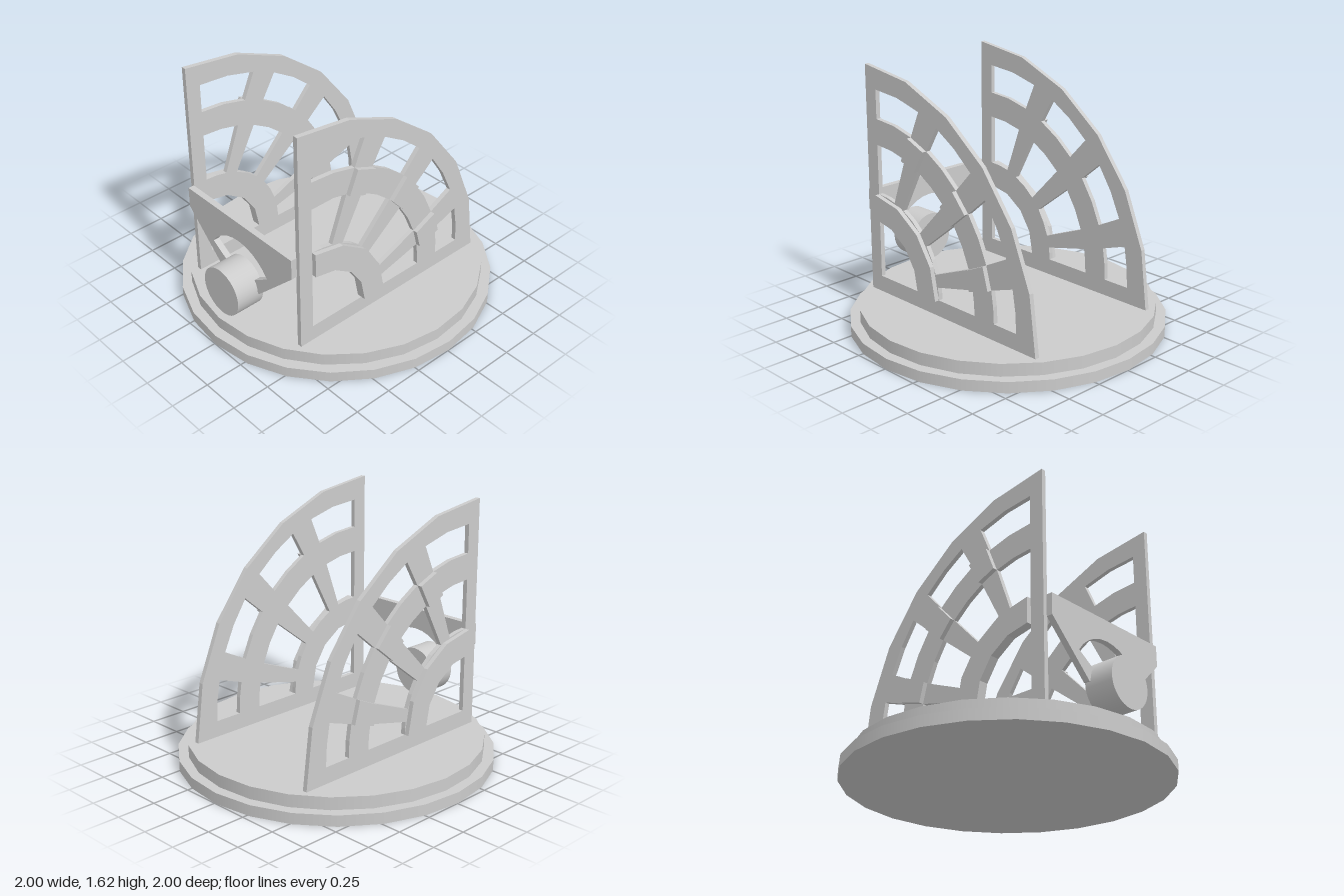
import * as THREE from 'three';

const material = new THREE.MeshStandardMaterial({ color: 0xcccccc });
const rad = THREE.MathUtils.degToRad;

// Corner point the ring sectors and spokes radiate from
const CX = -0.64, CY = 0.255;
// Radii of the rings, from the hub opening to the outer rim
const R = { hubIn: 0.39, hubOut: 0.55, midIn: 0.87, midOut: 1.035, rim: 1.22 };
// Spoke edges in degrees: [at the hub, at the rim]
const spokes = [
  [[74, 71], [65, 62.9]],
  [[45.4, 46.1], [36, 37.7]],
  [[17, 20.9], [8.6, 12.6]],
];
const edgeAngle = ([a, b], r) => a + (b - a) * (r - R.hubOut) / (R.rim - R.hubOut);

function arc(cx, cy, r, from, to, n) {
  return Array.from({ length: n + 1 }, (_, i) => {
    const a = rad(from + (to - from) * i / n);
    return new THREE.Vector2(cx + r * Math.cos(a), cy + r * Math.sin(a));
  });
}

// Ring sector between two edges, as a list of points
function sector(r0, r1, edgeA, edgeB, n) {
  return [
    ...arc(CX, CY, r0, edgeAngle(edgeA, r0), edgeAngle(edgeB, r0), n),
    ...arc(CX, CY, r1, edgeAngle(edgeB, r1), edgeAngle(edgeA, r1), n),
  ];
}

function extrude(points, depth, holes = []) {
  const shape = new THREE.Shape(points);
  shape.holes = holes.map((h) => new THREE.Path(h));
  return new THREE.ExtrudeGeometry(shape, { depth, bevelEnabled: false });
}

function add(parent, name, geometry, x = 0, y = 0, z = 0) {
  const mesh = new THREE.Mesh(geometry, material);
  mesh.name = name;
  mesh.position.set(x, y, z);
  parent.add(mesh);
  return mesh;
}

export function createModel() {
  const model = new THREE.Group();
  model.name = 'quadrantStand';

  // Two stacked base discs
  const lower = add(model, 'lowerBase', new THREE.CylinderGeometry(1, 1, 0.07, 24), 0, 0.035);
  lower.rotation.y = 0.012;
  const upper = add(model, 'upperBase', new THREE.CylinderGeometry(0.935, 0.935, 0.08, 24), 0, 0.11);
  upper.rotation.y = -0.033;

  // Openings: hub quarter, then two rows of windows between the spokes
  const holes = [[new THREE.Vector2(CX, CY), ...arc(CX, CY, R.hubIn, 0, 90, 4)]];
  const edges = [[90, 90], ...spokes.flat(), [0, 0]];
  for (let i = 0; i < edges.length; i += 2) {
    holes.push(sector(R.hubOut, R.midIn, edges[i], edges[i + 1], 2));
    holes.push(sector(R.midOut, R.rim, edges[i], edges[i + 1], 2));
  }
  const outline = [new THREE.Vector2(-0.735, 0.15), ...arc(-0.735, 0.15, 1.47, 0, 90, 6)];
  const panelGeometry = extrude(outline, 0.03, holes);

  // Raised hub band and blocks where the spokes cross the middle ring
  const bandGeometry = extrude(sector(R.hubIn, R.hubOut, [90, 90], [0, 0], 4), 0.03);
  const blockGeometries = spokes.map(([a, b]) => extrude(sector(R.midIn, R.midOut, a, b, 1), 0.03));

  for (const [side, zPanel, zRaised] of [['front', 0.47, 0.5], ['back', -0.5, -0.53]]) {
    const group = new THREE.Group();
    group.name = side + 'Quadrant';
    model.add(group);
    add(group, 'panel', panelGeometry, 0, 0, zPanel);
    add(group, 'hubBand', bandGeometry, 0, 0, zRaised);
    for (const g of blockGeometries) add(group, 'spokeBlock', g, 0, 0, zRaised);
  }

  // Tapered bracket plate joining the two panels, with a fan-shaped opening
  const plate = [[-0.475, 0.805], [-0.475, 0.67], [-0.17, 0.37], [0.17, 0.37], [0.475, 0.67], [0.475, 0.805]]
    .map(([z, y]) => new THREE.Vector2(z, y));
  const fan = [...arc(0, 0.37, 0.3, 33, 147, 10), ...arc(0, 0.37, 0.15, 147, 33, 10)];
  const bracket = add(model, 'bracket', extrude(plate, 0.04, [fan]), -0.735);
  bracket.rotation.y = -Math.PI / 2;

  // Round knob on the bracket
  const knob = add(model, 'knob', new THREE.CylinderGeometry(0.16, 0.16, 0.19, 32), -0.83, 0.37);
  knob.rotation.z = Math.PI / 2;

  return model;
}
